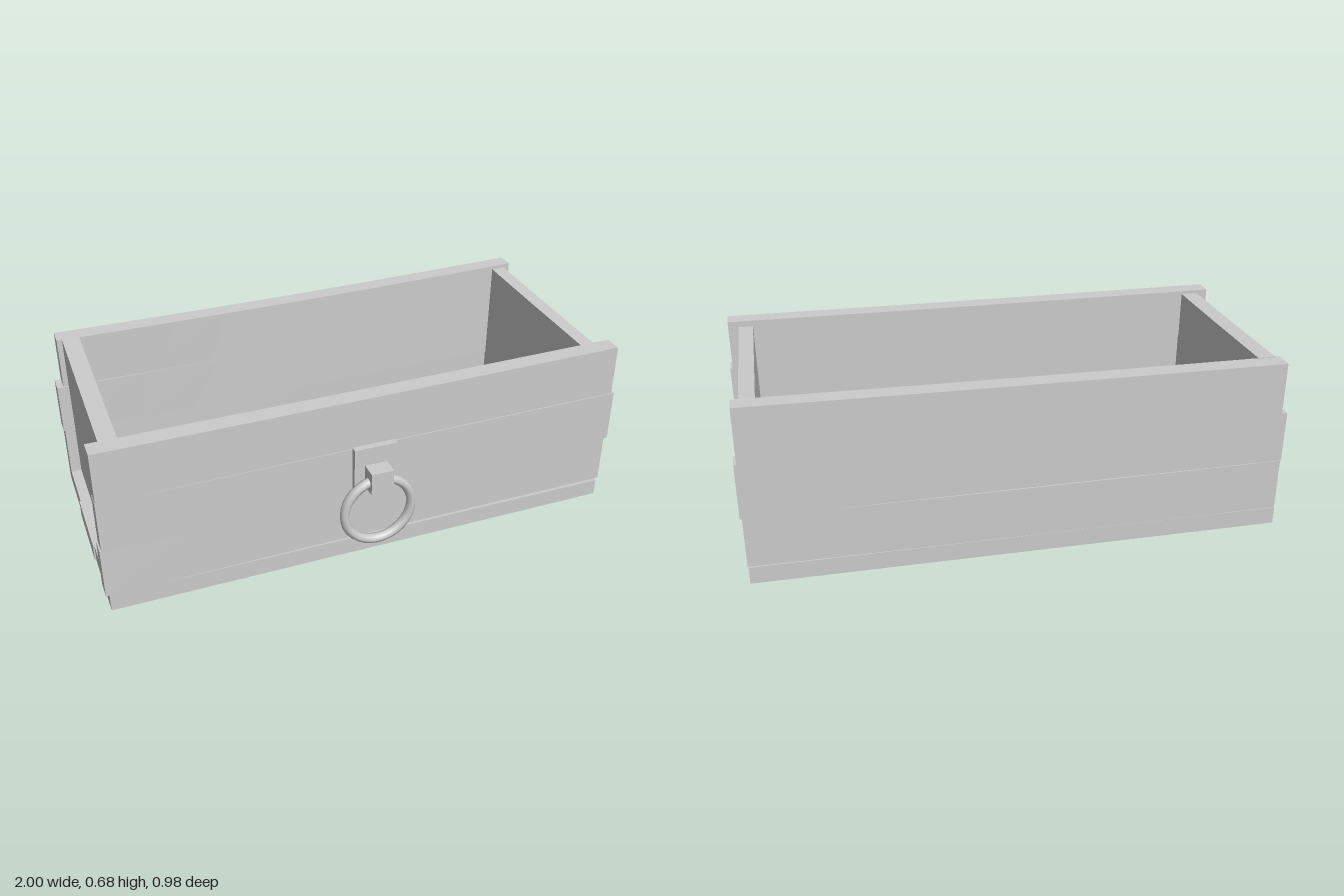
import * as THREE from 'three';

const material = new THREE.MeshStandardMaterial({ color: 0xcccccc });

function addMesh(group, name, geometry) {
  const mesh = new THREE.Mesh(geometry, material);
  mesh.name = name;
  group.add(mesh);
  return mesh;
}

// Box given by its limits
function block(group, name, [x0, x1], [y0, y1], [z0, z1]) {
  const g = new THREE.BoxGeometry(x1 - x0, y1 - y0, z1 - z0);
  g.translate((x0 + x1) / 2, (y0 + y1) / 2, (z0 + z1) / 2);
  return addMesh(group, name, g);
}

// Long board along x; each end is [x, yLow, yHigh, zBack, zFront], with a slight bow between
function plank(group, name, left, right, bowY = 0, bowZ = 0) {
  const g = new THREE.BoxGeometry(1, 1, 1, 6, 1, 1);
  const p = g.attributes.position;
  const mix = THREE.MathUtils.lerp;
  for (let i = 0; i < p.count; i++) {
    const t = p.getX(i) + 0.5;
    const end = left.map((v, k) => mix(v, right[k], t));
    const bow = Math.sin(Math.PI * t);
    p.setXYZ(i, end[0],
      mix(end[1], end[2], p.getY(i) + 0.5) + bowY * bow,
      mix(end[3], end[4], p.getZ(i) + 0.5) + bowZ * bow);
  }
  g.computeVertexNormals();
  return addMesh(group, name, g);
}

// End wall whose top edge rises toward the back
function endWall(group, name, xInner, xOuter) {
  const shape = new THREE.Shape();
  shape.moveTo(-0.335, 0.065);
  shape.lineTo(0.425, 0.065);
  shape.lineTo(0.425, 0.668);
  shape.lineTo(0.05, 0.657);
  shape.lineTo(-0.335, 0.648);
  const g = new THREE.ExtrudeGeometry(shape, { depth: Math.abs(xOuter - xInner), bevelEnabled: false });
  g.rotateY(Math.PI / 2);
  g.translate(Math.min(xInner, xOuter), 0, 0);
  return addMesh(group, name, g);
}

export function createModel() {
  const model = new THREE.Group();
  model.name = 'drawer';

  // Floor boards, front to back
  const floor = new THREE.Group();
  floor.name = 'floor';
  plank(floor, 'floorFront', [-0.985, 0.003, 0.073, 0.103, 0.398], [0.98, 0.006, 0.07, 0.1, 0.4]);
  plank(floor, 'floorMiddle', [-0.99, 0.002, 0.072, -0.197, 0.1], [0.985, 0.013, 0.078, -0.195, 0.1], -0.002);
  plank(floor, 'floorBack', [-0.985, 0, 0.068, -0.487, -0.197], [0.975, 0.005, 0.071, -0.487, -0.195]);

  // Front boards, bottom to top
  const front = new THREE.Group();
  front.name = 'front';
  plank(front, 'frontLower', [-0.998, 0.073, 0.268, 0.333, 0.4], [0.99, 0.078, 0.27, 0.333, 0.396], 0, -0.003);
  plank(front, 'frontMiddle', [-0.992, 0.266, 0.462, 0.335, 0.4], [1, 0.271, 0.475, 0.333, 0.402], 0.002, 0.002);
  plank(front, 'frontUpper', [-0.99, 0.462, 0.66, 0.33, 0.4], [0.99, 0.475, 0.672, 0.33, 0.398], -0.002);

  // Back boards, bottom to top
  const back = new THREE.Group();
  back.name = 'back';
  plank(back, 'backLower', [-0.985, 0.068, 0.268, -0.485, -0.418], [0.978, 0.071, 0.266, -0.48, -0.42], 0, -0.003);
  plank(back, 'backMiddle', [-0.99, 0.268, 0.464, -0.482, -0.415], [0.985, 0.266, 0.473, -0.483, -0.417], 0, 0.003);
  plank(back, 'backUpper', [-0.965, 0.464, 0.665, -0.49, -0.42], [0.975, 0.473, 0.683, -0.484, -0.417], -0.005, 0.006);

  // End walls
  const sides = new THREE.Group();
  sides.name = 'sides';
  endWall(sides, 'rightWall', -0.88, -0.945);
  endWall(sides, 'leftWall', 0.895, 0.95);

  // Ring pull: back plate, holding block and hanging ring
  const pull = new THREE.Group();
  pull.name = 'ringPull';
  block(pull, 'pullPlate', [-0.08, 0.085], [0.252, 0.475], [0.39, 0.424]);
  block(pull, 'pullBlock', [-0.04, 0.045], [0.317, 0.404], [0.42, 0.488]);
  const ring = addMesh(pull, 'pullRing', new THREE.TorusGeometry(0.131, 0.018, 8, 32));
  ring.position.set(0, 0.228, 0.458);
  ring.scale.z = 1.1;

  model.add(floor, front, back, sides, pull);
  return model;
}
